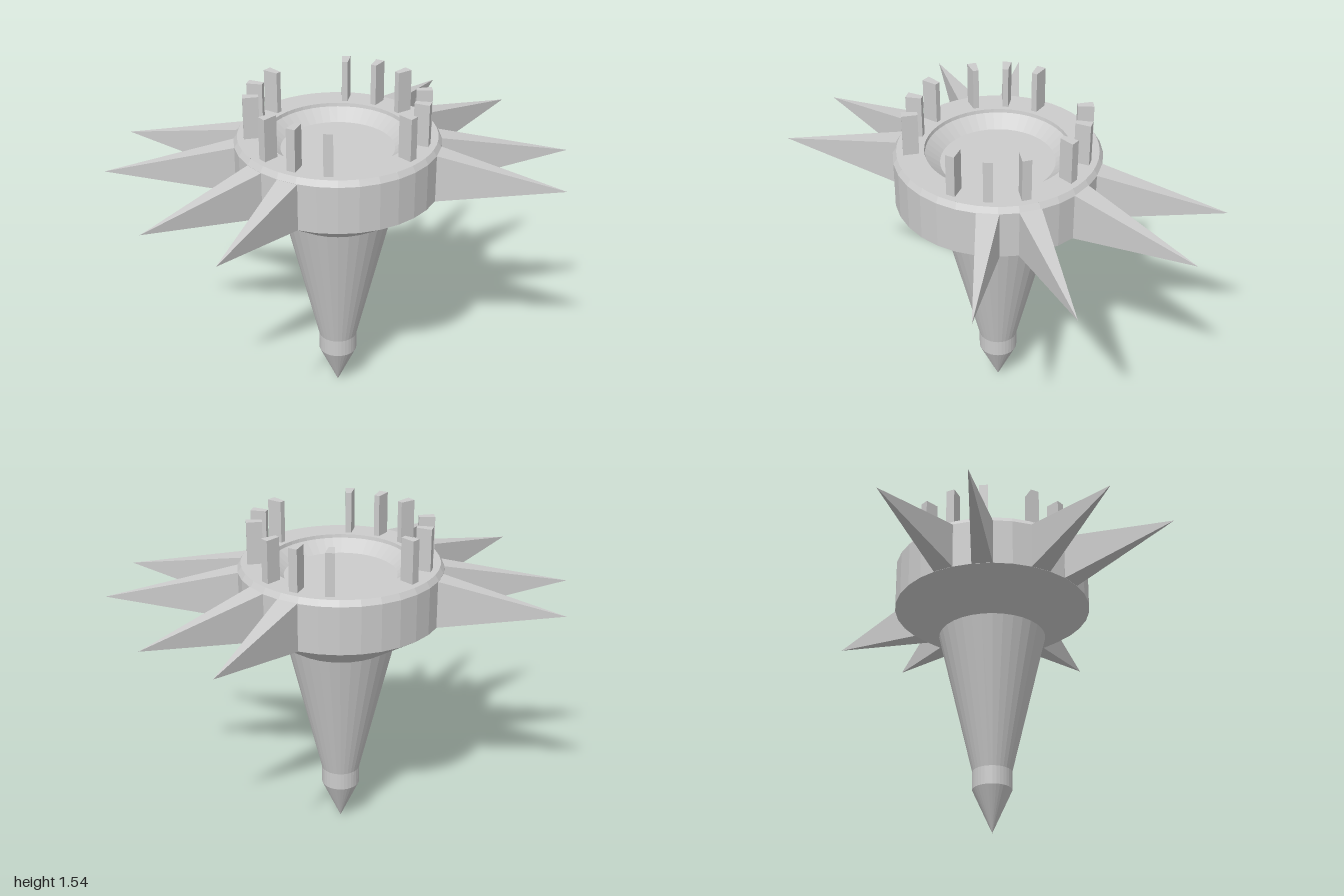
import * as THREE from 'three';

const material = new THREE.MeshStandardMaterial({ color: 0xcccccc, flatShading: true });
const CENTER_X = -0.007;

function lathe(name, profile, segments) {
  const points = profile.map(([r, y]) => new THREE.Vector2(r, y));
  const mesh = new THREE.Mesh(new THREE.LatheGeometry(points, segments), material);
  mesh.name = name;
  return mesh;
}

// Box running along +x from r0 to r1 whose outer end is scaled in y and z
function taperedBox(r0, r1, height, width, endY, endZ) {
  const geometry = new THREE.BoxGeometry(r1 - r0, height, width);
  const p = geometry.attributes.position;
  for (let i = 0; i < p.count; i++) {
    if (p.getX(i) > 0) {
      p.setY(i, p.getY(i) * endY);
      p.setZ(i, p.getZ(i) * endZ);
    }
  }
  geometry.translate((r0 + r1) / 2, 0, 0);
  geometry.computeVertexNormals();
  return geometry;
}

// Places one copy of a radial part in each quadrant
function addMirrored(group, name, geometry, degrees, y) {
  const a = THREE.MathUtils.degToRad(degrees);
  for (const angle of [a, -a, Math.PI - a, Math.PI + a]) {
    const mesh = new THREE.Mesh(geometry, material);
    mesh.name = name;
    mesh.position.y = y;
    mesh.rotation.y = angle;
    group.add(mesh);
  }
}

export function createModel() {
  const model = new THREE.Group();
  model.name = 'spikedStation';

  const body = new THREE.Group();
  body.name = 'body';
  body.position.x = CENTER_X;
  model.add(body);

  // Pointed tip, collar, tapering shaft and flared underside
  body.add(lathe('tip', [[0, 0], [0.09, 0.2]], 32));
  body.add(lathe('collar', [[0.09, 0.2], [0.09, 0.285]], 32));
  body.add(lathe('shaft', [[0.09, 0.285], [0.25, 0.96]], 32));
  body.add(lathe('flare', [[0.25, 0.96], [0.462, 1.1]], 32));

  // Outer ring with a bevelled top and a shallow dish
  body.add(lathe('ring', [[0.462, 1.1], [0.462, 1.32], [0.445, 1.346]], 32));
  body.add(lathe('deck', [[0.445, 1.346], [0.323, 1.346], [0.32, 1.33]], 48));
  body.add(lathe('dish', [[0.32, 1.33], [0.255, 1.28], [0, 1.28]], 48));

  // Flat-sided spikes, two per quadrant
  const spikes = new THREE.Group();
  spikes.name = 'spikes';
  model.add(spikes);
  addMirrored(spikes, 'spike', taperedBox(0.44, 1.04, 0.228, 0.1, 0, 0), 16.8, 1.21);
  addMirrored(spikes, 'spike', taperedBox(0.44, 1.02, 0.228, 0.1, 0, 0), 39.5, 1.21);

  // Wedge-shaped upright posts on the deck, three per quadrant
  const posts = new THREE.Group();
  posts.name = 'posts';
  body.add(posts);
  const post = taperedBox(0.345, 0.415, 0.2, 0.026, 1, 1.6);
  for (const degrees of [17, 39.3, 62]) addMirrored(posts, 'post', post, degrees, 1.441);

  return model;
}
